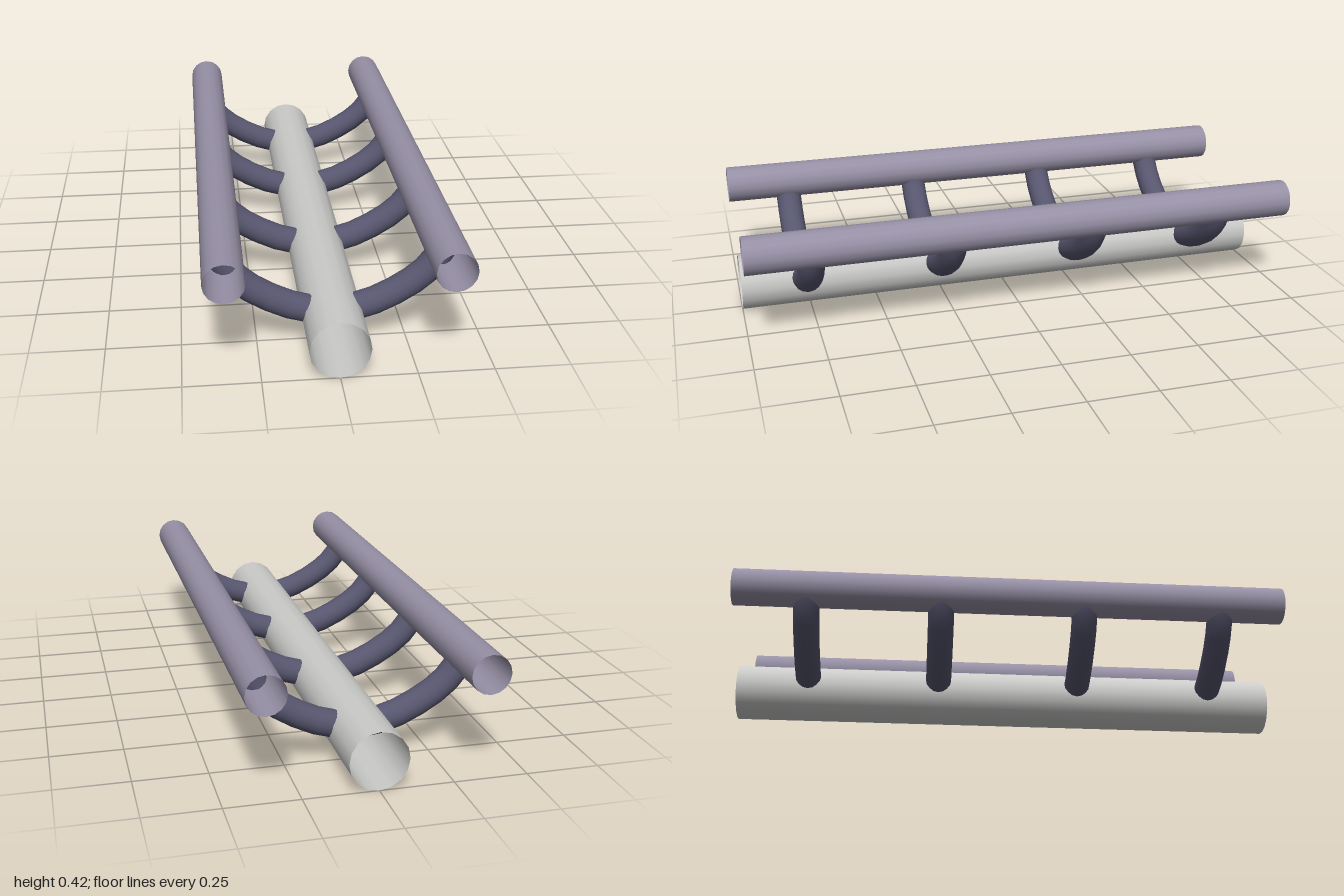
import * as THREE from 'three';

const material = (name, color) =>
  new THREE.MeshStandardMaterial({ name, color, side: THREE.DoubleSide });

export function createModel() {
  const group = new THREE.Group();
  group.name = 'pipeLadder';
  const pipeGrey = material('light grey', 0xcbcbca);
  const railMauve = material('mauve grey', 0x9790a6);
  const ribSlate = material('dark slate', 0x57566f);

  // Hollow open-ended pipe running along z
  function addPipe(name, radius, x, y, mat) {
    const geometry = new THREE.CylinderGeometry(radius, radius, 2, 16, 1, true);
    geometry.rotateX(Math.PI / 2);
    const mesh = new THREE.Mesh(geometry, mat);
    mesh.name = name;
    mesh.position.set(x, y, 0);
    group.add(mesh);
  }
  addPipe('centrePipe', 0.1, 0, 0.101, pipeGrey);
  addPipe('leftRail', 0.067, 0.36, 0.356, railMauve);
  addPipe('rightRail', 0.067, -0.36, 0.356, railMauve);

  // Curved rib: half of the centre line, mirrored across x
  const half = [
    [0.073, 0.126], [0.139, 0.145], [0.205, 0.176], [0.265, 0.2125],
    [0.31, 0.25], [0.341, 0.289], [0.3615, 0.331], [0.369, 0.3725],
  ];
  const path = [
    ...half.map(([x, y]) => [-x, y]).reverse(), [0, 0.117], ...half,
  ].map(([x, y]) => new THREE.Vector3(x, y, 0));
  const curve = new THREE.CatmullRomCurve3(path);
  curve.getUtoTmapping = (u) => u; // one ring at each path point
  const ribGeometry = new THREE.TubeGeometry(curve, path.length - 1, 0.047, 16, false);

  // Four ribs spaced along the pipe
  [0.77, 0.27, -0.253, -0.738].forEach((z, i) => {
    const rib = new THREE.Mesh(ribGeometry, ribSlate);
    rib.name = `rib${i + 1}`;
    rib.position.z = z;
    group.add(rib);
  });
  return group;
}
